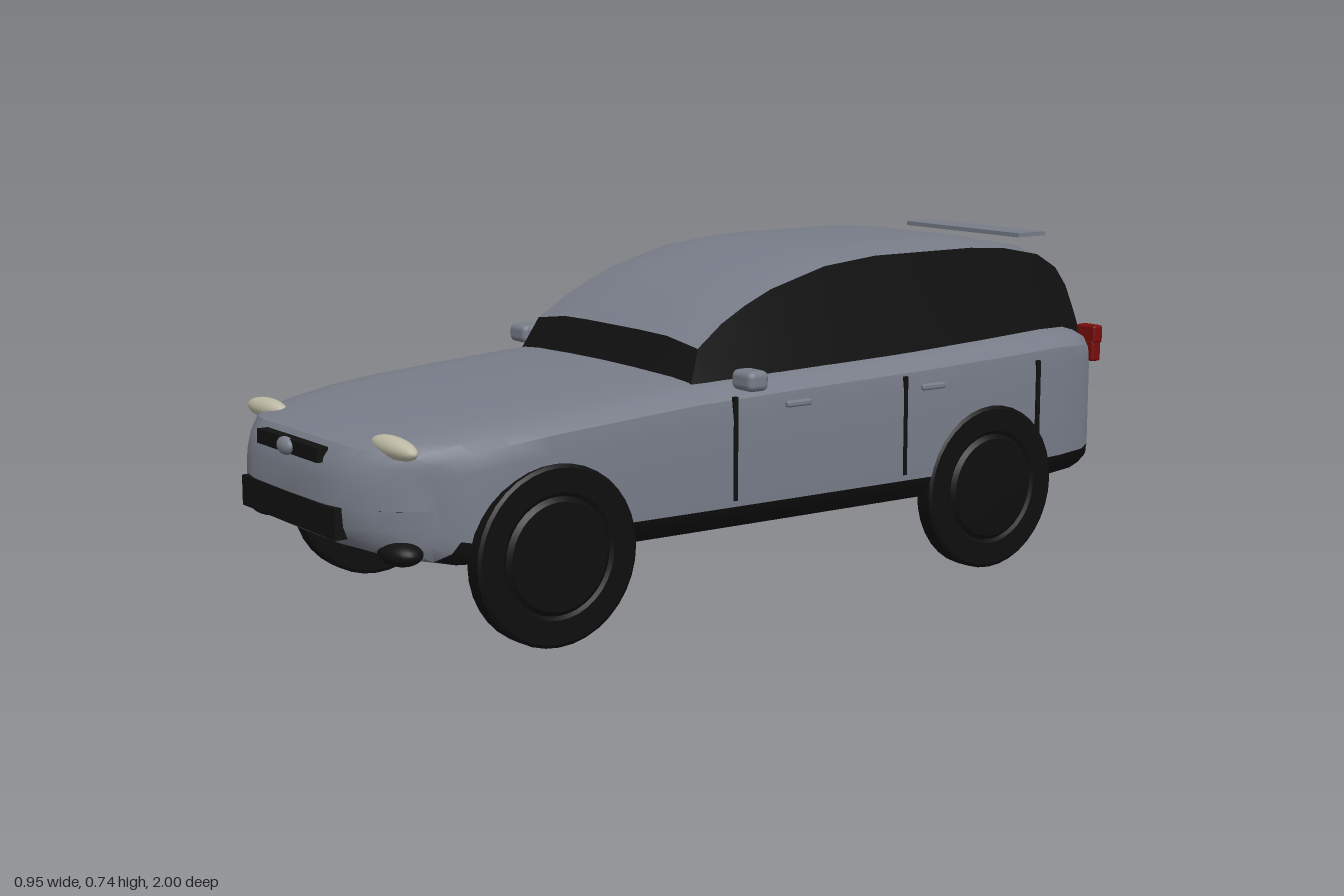
import * as THREE from 'three';
import { toCreasedNormals } from 'three/addons/utils/BufferGeometryUtils.js';
import { RoundedBoxGeometry } from 'three/addons/geometries/RoundedBoxGeometry.js';

const material = (name, color) => {
  const m = new THREE.MeshStandardMaterial({ color });
  m.name = name;
  return m;
};

// Skins the quads of a grid of points for which pick(i, j) is true
function skin(rows, pick, crease = 0.6) {
  const pos = [];
  for (let i = 0; i < rows.length - 1; i++) {
    for (let j = 0; j < rows[i].length - 1; j++) {
      if (!pick(i, j)) continue;
      const a = rows[i][j], b = rows[i][j + 1], c = rows[i + 1][j + 1], d = rows[i + 1][j];
      pos.push(...a, ...b, ...c, ...a, ...c, ...d);
    }
  }
  const g = new THREE.BufferGeometry();
  g.setAttribute('position', new THREE.Float32BufferAttribute(pos, 3));
  return toCreasedNormals(g, crease);
}

// Body cross-section: half width w, top t, bottom b, ends bowed back by bow
function bodySection([z, w, t, b, bow]) {
  const k = Math.min(1, (t - b) / 0.3);
  const half = [
    [0, t], [0.3, t - 0.001 * k], [0.5, t - 0.003 * k], [0.65, t - 0.005 * k], [0.8, t - 0.01 * k],
    [0.93, t - 0.022 * k], [0.985, t - 0.045 * k], [1, t - 0.085 * k],
    [1, b + 0.052 * k], [0.97, b + 0.022 * k], [0.9, b], [0.8, b], [0.65, b], [0.45, b], [0, b],
  ].map(([x, y]) => [x * w, y, z - bow * x ** 5]);
  const other = half.slice(0, -1).reverse().map(([x, y, pz]) => [-x, y, pz]);
  return [...half, ...other];
}

export function createModel() {
  const car = new THREE.Group();
  car.name = 'car';
  const paint = material('grey paint', 0x777c88);
  const black = material('black trim', 0x111111);
  const rubber = material('tyre black', 0x0e0e0f);
  const cream = material('headlight cream', 0xbdb9a4);
  const red = material('taillight red', 0x780c0c);

  const add = (name, geo, mat, x = 0, y = 0, z = 0) => {
    const m = new THREE.Mesh(geo, mat);
    m.name = name;
    m.position.set(x, y, z);
    car.add(m);
    return m;
  };
  const box = (name, mat, w, h, d, x, y, z, r = 0) =>
    add(name, r ? new RoundedBoxGeometry(w, h, d, 3, r) : new THREE.BoxGeometry(w, h, d), mat, x, y, z);
  const oval = (name, mat, w, h, d, x, y, z) =>
    add(name, new THREE.SphereGeometry(1, 24, 16).scale(w, h, d), mat, x, y, z);

  // Lower body: z, half width, top, bottom, bow
  const stations = [
    [0.985, 0.345, 0.30, 0.30, 0.14],
    [0.982, 0.345, 0.35, 0.26, 0.14],
    [0.972, 0.347, 0.39, 0.235, 0.135],
    [0.95, 0.352, 0.418, 0.215, 0.12],
    [0.895, 0.366, 0.434, 0.195, 0.10],
    [0.84, 0.378, 0.445, 0.185, 0.08],
    [0.72, 0.392, 0.462, 0.18, 0.03],
    [0.6, 0.398, 0.474, 0.18, 0],
    [0.45, 0.4, 0.486, 0.18, 0],
    [0.25, 0.402, 0.5, 0.18, 0],
    [0, 0.403, 0.508, 0.18, 0],
    [-0.4, 0.403, 0.518, 0.18, 0],
    [-0.7, 0.4, 0.529, 0.18, 0],
    [-0.8, 0.394, 0.532, 0.182, 0],
    [-0.88, 0.385, 0.53, 0.187, 0],
    [-0.93, 0.371, 0.52, 0.193, -0.02],
    [-0.965, 0.355, 0.497, 0.205, -0.05],
    [-0.981, 0.345, 0.46, 0.24, -0.062],
    [-0.986, 0.342, 0.36, 0.36, -0.065],
  ];
  const bodyRows = stations.map(bodySection);
  const last = bodyRows[0].length - 2;
  const isSill = (i, j) => {
    const side = Math.min(j, last - j);
    return i >= 4 && i <= 14 && (side === 8 || side === 9);
  };
  add('body', skin(bodyRows, (i, j) => !isSill(i, j)), paint);
  add('sills', skin(bodyRows, isSill), black);

  // Cabin: z, top, roof half width, belt half width
  const cabin = [
    [0.222, 0.5, 0.335, 0.342],
    [0.187, 0.575, 0.312, 0.342],
    [0.118, 0.622, 0.303, 0.343],
    [0.055, 0.655, 0.3, 0.343],
    [-0.016, 0.685, 0.298, 0.344],
    [-0.166, 0.725, 0.296, 0.344],
    [-0.31, 0.739, 0.295, 0.344],
    [-0.6, 0.739, 0.291, 0.338],
    [-0.71, 0.731, 0.287, 0.334],
    [-0.82, 0.71, 0.281, 0.326],
    [-0.885, 0.675, 0.276, 0.318],
    [-0.924, 0.63, 0.272, 0.31],
    [-0.945, 0.58, 0.275, 0.302],
    [-0.968, 0.495, 0.285, 0.293],
  ];
  const cabinRows = cabin.map(([z, y, w, belt]) => {
    const half = [[0, y], [0.1, y], [0.2, y - 0.002], [w, y - 0.017], [belt, 0.47]].map(([x, h]) => [x, h, z]);
    return [...half.slice(1).reverse().map(([x, h, pz]) => [-x, h, pz]), ...half];
  });
  const isGlass = (i, j) => j === 0 || j === 7 || i === 0 || i >= 11;
  add('windows', skin(cabinRows, isGlass), black);
  add('roof', skin(cabinRows, (i, j) => !isGlass(i, j)), paint);

  // Front and rear trim
  box('upperGrille', black, 0.27, 0.03, 0.025, 0, 0.393, 0.972);
  oval('noseOval', paint, 0.03, 0.019, 0.014, 0, 0.393, 0.986);
  box('lowerGrille', black, 0.418, 0.064, 0.06, 0, 0.267, 0.957);
  box('rearBumper', black, 0.57, 0.054, 0.045, 0, 0.222, -0.9775, 0.008);
  box('spoiler', paint, 0.4, 0.01, 0.088, 0, 0.73, -0.88);

  // Wheel profile: radius, distance from the centre line
  const tyre = [
    [0, 0.325], [0.105, 0.325], [0.113, 0.327], [0.135, 0.36], [0.18, 0.36], [0.187, 0.364],
    [0.187, 0.402], [0.18, 0.407], [0.13, 0.407], [0.122, 0.402], [0.112, 0.41], [0, 0.411],
  ].map(([r, x]) => new THREE.Vector2(r, x));
  const wheelGeo = toCreasedNormals(new THREE.LatheGeometry(tyre, 36), 0.5);

  for (const s of [1, -1]) {
    for (const z of [0.594, -0.572]) {
      add('wheel', wheelGeo, rubber, 0, 0.187, z).rotation.z = -s * Math.PI / 2;
    }
    // Lights
    const lamp = oval('headlight', cream, 0.084, 0.022, 0.024, s * 0.28, 0.421, 0.89);
    lamp.rotation.z = -s * 0.03;
    oval('foglight', black, 0.06, 0.027, 0.04, s * 0.288, 0.214, 0.887);
    box('taillightTop', red, 0.058, 0.042, 0.03, s * 0.339, 0.503, -0.942, 0.006);
    box('taillightLower', red, 0.04, 0.05, 0.028, s * 0.346, 0.464, -0.94, 0.006);
    // Mirrors and doors
    box('mirror', paint, 0.07, 0.043, 0.052, s * 0.438, 0.505, 0.145, 0.014);
    for (const z of [0.155, -0.312, -0.715]) {
      box('doorGap', black, 0.009, 0.22, 0.01, s * 0.4005, 0.355, z);
    }
    for (const z of [-0.01, -0.39]) {
      box('doorHandle', paint, 0.016, 0.014, 0.066, s * 0.404, 0.437, z, 0.005);
    }
  }
  return car;
}
